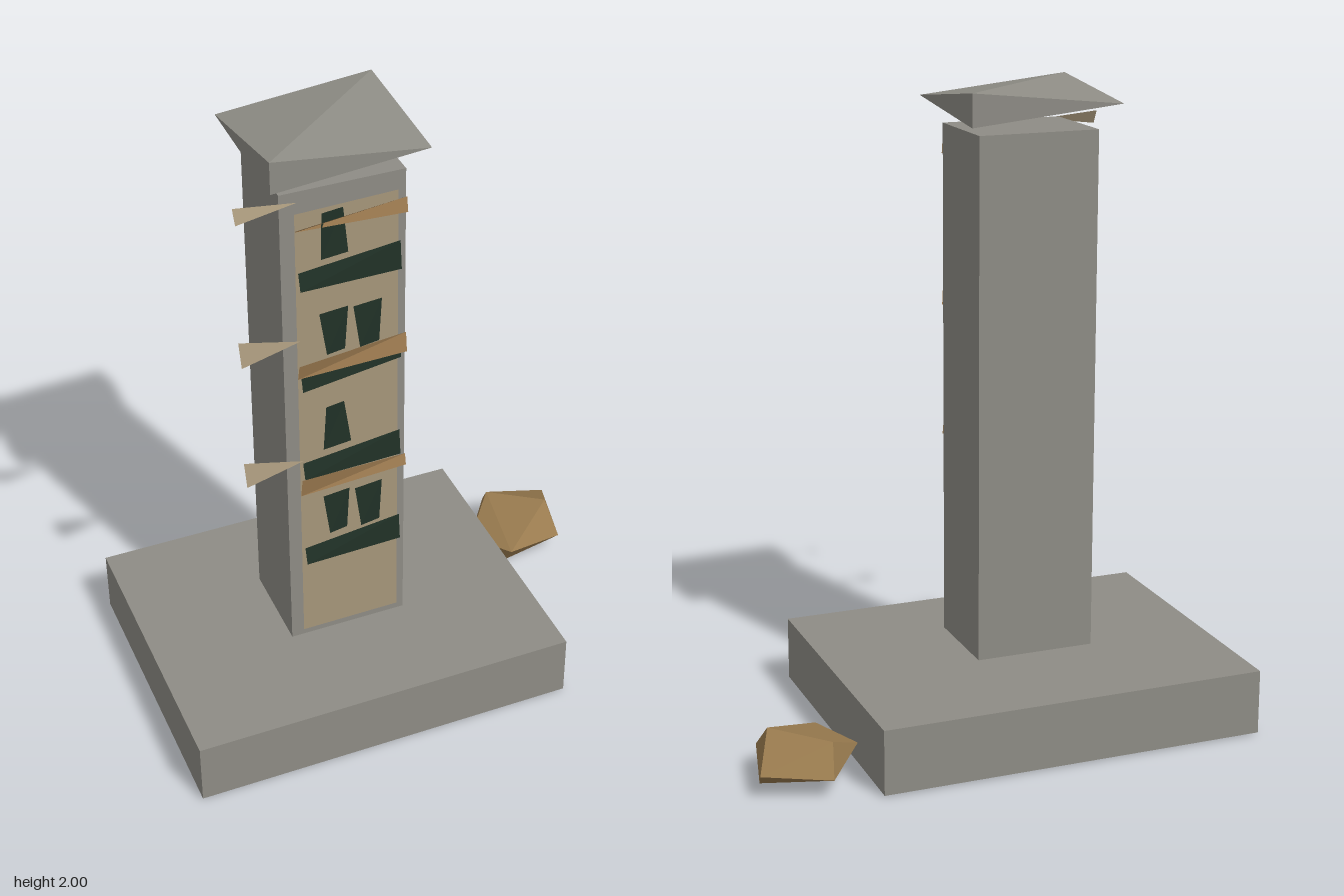
import * as THREE from 'three';
import { ConvexGeometry } from 'three/addons/geometries/ConvexGeometry.js';

const mat = (name, color, side = THREE.FrontSide) =>
  new THREE.MeshStandardMaterial({ name, color, side, flatShading: true });

export function createModel() {
  const group = new THREE.Group();
  const stone = mat('grey stone', 0x8e8c85);
  const rockBrown = mat('rock brown', 0x987a4e);
  const tan = mat('tan', 0xa6967a, THREE.DoubleSide);
  const green = mat('dark green', 0x1f2f25, THREE.DoubleSide);
  const brown = mat('strap brown', 0xa07d52, THREE.DoubleSide);

  const add = (name, geometry, material) => {
    const mesh = new THREE.Mesh(geometry, material);
    mesh.name = name;
    group.add(mesh);
    return mesh;
  };

  // Box given by its lower and upper corners
  const box = (name, a, b, material) => {
    const geo = new THREE.BoxGeometry(b[0] - a[0], b[1] - a[1], b[2] - a[2]);
    geo.translate((a[0] + b[0]) / 2, (a[1] + b[1]) / 2, (a[2] + b[2]) / 2);
    return add(name, geo, material);
  };

  // Thin sheet with three or four corners, counter-clockwise from the front
  const sheet = (name, corners, material) => {
    const order = corners.length === 4 ? [0, 1, 2, 0, 2, 3] : [0, 1, 2];
    const geo = new THREE.BufferGeometry();
    geo.setAttribute('position', new THREE.Float32BufferAttribute(order.flatMap(i => corners[i]), 3));
    geo.computeVertexNormals();
    return add(name, geo, material);
  };

  const hull = (name, points, material) =>
    add(name, new ConvexGeometry(points.map(p => new THREE.Vector3(...p))), material);

  // Base slab and column
  box('base', [-0.79, 0.01, -0.48], [0.44, 0.215, 0.48], stone);
  box('column', [-0.365, 0.245, -0.15], [0.015, 1.87, 0.15], stone);

  // Cap: two upright corner edges and two pointed corners
  hull('cap', [
    [-0.4, 2.0, 0.185], [-0.4, 1.9, 0.185],
    [0.055, 2.0, -0.195], [0.055, 1.9, -0.195],
    [0.07, 1.95, 0.2], [-0.418, 1.95, -0.207],
  ], stone);

  // Rock beside the base
  hull('rock', [
    [0.443, 0.08, -0.245], [0.58, 0.065, -0.44], [0.56, 0.154, -0.37],
    [0.785, 0.085, -0.38], [0.72, 0.17, -0.235], [0.766, 0.027, -0.3],
    [0.73, 0.08, -0.14], [0.53, 0.1, -0.1], [0.528, 0.005, -0.17],
  ], rockBrown);

  // Front panel, slightly twisted at the top
  sheet('frontPanel', [
    [-0.335, 0.29, 0.178], [-0.018, 0.29, 0.176],
    [-0.015, 1.818, 0.167], [-0.335, 1.825, 0.19],
  ], tan);

  // Green bands: y of left bottom, right bottom, right top, left top
  const bands = [
    [1.586, 1.576, 1.666, 1.64],
    [1.24, 1.27, 1.31, 1.3],
    [0.918, 0.912, 0.997, 0.97],
    [0.589, 0.581, 0.668, 0.642],
  ];
  for (const [lb, rb, rt, lt] of bands) {
    sheet('greenBand', [
      [-0.332, lb, 0.217], [-0.018, rb, 0.2], [-0.018, rt, 0.19], [-0.332, lt, 0.202],
    ], green);
  }

  // Brown straps, same order of heights
  const straps = [
    [1.78, 1.768, 1.814, 1.792],
    [1.284, 1.294, 1.358, 1.337],
    [0.854, 0.875, 0.912, 0.923],
  ];
  for (const [lb, rb, rt, lt] of straps) {
    sheet('strap', [
      [-0.343, lb, 0.208], [-0.005, rb, 0.212], [-0.005, rt, 0.204], [-0.343, lt, 0.222],
    ], brown);
  }

  // Windows: centre x, bottom and top y, half widths at bottom and top
  const windows = [
    [-0.227, 1.68, 1.82, 0.043, 0.034],
    [-0.227, 1.355, 1.49, 0.03, 0.046],
    [-0.123, 1.355, 1.49, 0.032, 0.046],
    [-0.227, 1.017, 1.158, 0.046, 0.03],
    [-0.227, 0.692, 0.828, 0.03, 0.044],
    [-0.123, 0.69, 0.828, 0.032, 0.046],
  ];
  for (const [x, y0, y1, w0, w1] of windows) {
    sheet('window', [
      [x - w0, y0, 0.219], [x + w0, y0, 0.208], [x + w1, y1, 0.195], [x - w1, y1, 0.205],
    ], green);
  }

  // Pennants on the side: outer bottom, tip and outer top heights
  for (const [low, tip, high] of [[1.836, 1.86, 1.878], [1.363, 1.4, 1.437], [0.932, 0.968, 1.006]]) {
    sheet('pennant', [[-0.508, low, 0.2], [-0.325, tip, 0.188], [-0.508, high, 0.178]], tan);
  }

  return group;
}
